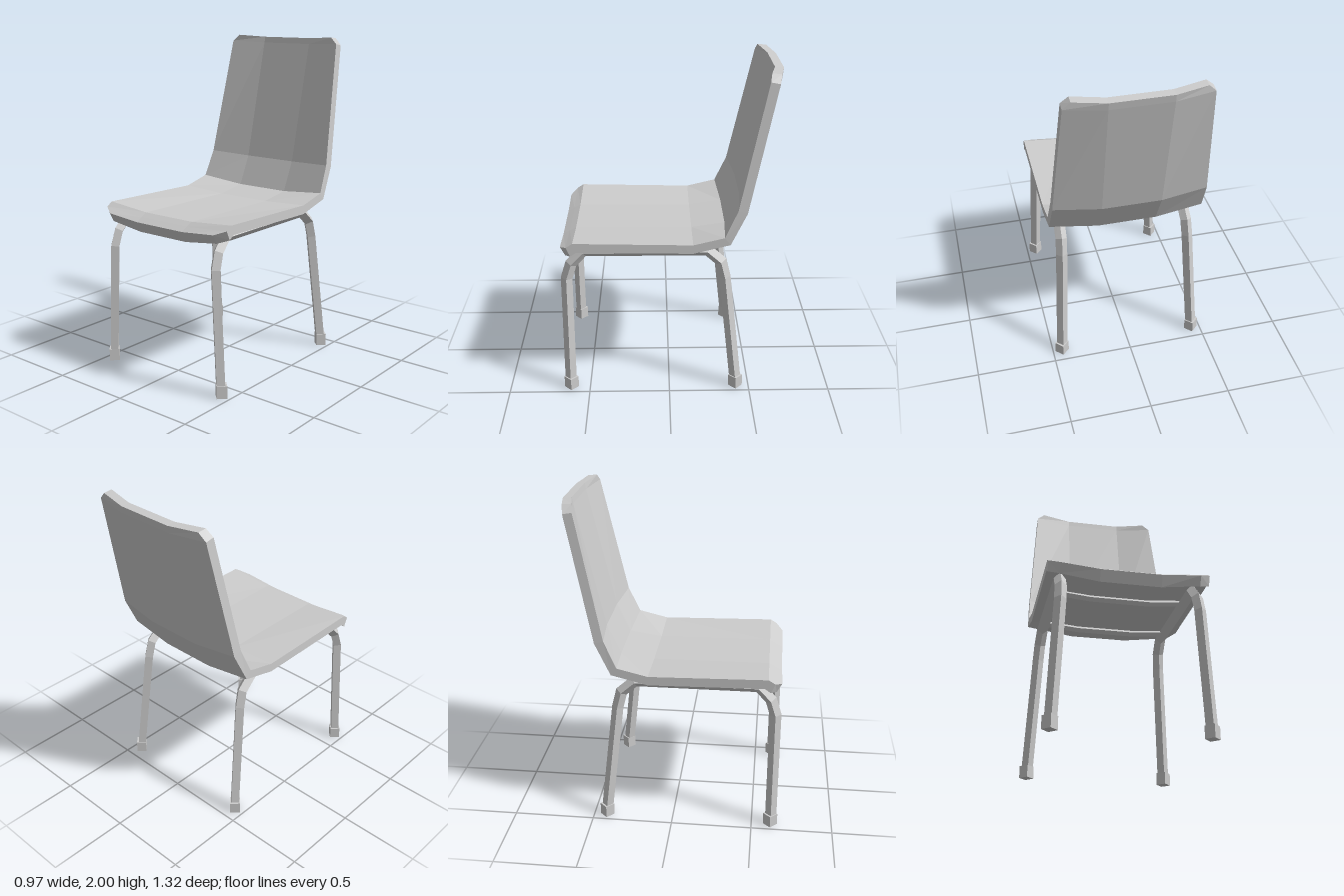
import * as THREE from 'three';

const grey = new THREE.MeshStandardMaterial({ color: 0xcccccc, flatShading: true });
grey.name = 'light grey';

// Skin a list of equal-sized rings (counterclockwise about the travel direction) and cap both ends.
function loft(name, rings) {
  const n = rings[0].length, pos = [];
  const quad = (a, b, c, d) => [a, b, c, a, c, d].forEach((p) => pos.push(p.x, p.y, p.z));
  for (let i = 0; i < rings.length - 1; i++) {
    for (let j = 0; j < n; j++) {
      const k = (j + 1) % n;
      quad(rings[i][j], rings[i][k], rings[i + 1][k], rings[i + 1][j]);
    }
  }
  const s = rings[0], e = rings[rings.length - 1];
  for (let j = 0; j < n / 2 - 1; j++) {
    quad(e[j], e[j + 1], e[n - 2 - j], e[n - 1 - j]);
    quad(s[n - 1 - j], s[n - 2 - j], s[j + 1], s[j]);
  }
  const geo = new THREE.BufferGeometry();
  geo.setAttribute('position', new THREE.Float32BufferAttribute(pos, 3));
  geo.computeVertexNormals();
  const mesh = new THREE.Mesh(geo, grey);
  mesh.name = name;
  return mesh;
}

// Diamond-section bar along a bent path, mitred at each bend; axis is normal to the bending plane.
function bar(name, points, radius, axis) {
  const last = points.length - 1;
  return loft(name, points.map((p, i) => {
    const before = p.clone().sub(points[Math.max(i - 1, 0)]).normalize();
    const after = points[Math.min(i + 1, last)].clone().sub(p).normalize();
    const t = before.clone().add(after).normalize();
    const miter = i === 0 || i === last ? 1 : 1 / t.dot(after);
    const b = t.clone().cross(axis).normalize();
    const n = b.clone().cross(t).normalize().multiplyScalar(radius);
    b.multiplyScalar(radius * miter);
    return [p.clone().add(n), p.clone().add(b), p.clone().sub(n), p.clone().sub(b)];
  }));
}

// Shell stations from front lip to top of back:
// half width, then z, y of: upper edge, upper centre, lower edge, lower centre
const STATIONS = [
  [0.41, 0.65, 0.965, 0.65, 0.945, 0.62, 0.91, 0.62, 0.88],
  [0.475, 0.61, 0.99, 0.61, 0.968, 0.585, 0.933, 0.585, 0.908],
  [0.475, 0.57, 1.015, 0.57, 0.99, 0.55, 0.957, 0.55, 0.936],
  [0.475, -0.14, 1.0, -0.14, 0.985, -0.14, 0.945, -0.14, 0.935],
  [0.475, -0.325, 1.045, -0.345, 1.015, -0.36, 1.0, -0.375, 0.965],
  [0.465, -0.4, 1.21, -0.43, 1.2, -0.455, 1.195, -0.487, 1.175],
  [0.415, -0.56, 1.96, -0.603, 1.952, -0.615, 1.95, -0.655, 1.94],
  [0.37, -0.57, 2.0, -0.61, 1.99, -0.625, 1.995, -0.663, 1.985],
];

// Side frame centreline as z, y: front foot, over the bends, to rear foot
const FRAME = [[0.62, 0.01], [0.62, 0.755], [0.59, 0.85], [0.515, 0.93],
  [-0.23, 0.93], [-0.312, 0.857], [-0.337, 0.755], [-0.42, 0.01]];

export function createModel() {
  const chair = new THREE.Group();
  chair.name = 'chair';
  const v = (x, y, z) => new THREE.Vector3(x, y, z);

  // One-piece seat and back, dished across its width
  const c = 0.18;
  chair.add(loft('seatShell', STATIONS.map(([w, ez, ey, cz, cy, fz, fy, dz, dy]) => [
    v(-w, ey, ez), v(-c, cy, cz), v(c, cy, cz), v(w, ey, ez),
    v(w, fy, fz), v(c, dy, dz), v(-c, dy, dz), v(-w, fy, fz),
  ])));

  // Bent side frames that splay outwards, with a cap on each foot
  for (const [side, sx] of [['left', 1], ['right', -1]]) {
    const path = FRAME.map(([z, y]) => v(sx * (0.44 - 0.05 * y), y, z));
    chair.add(bar(side + 'LegFrame', path, 0.035, v(1, 0, 0)));
    for (const [end, z] of [['Front', 0.617], ['Rear', -0.417]]) {
      const foot = new THREE.Mesh(new THREE.CylinderGeometry(0.044, 0.044, 0.075, 4), grey);
      foot.name = side + end + 'FootCap';
      foot.position.set(sx * 0.44, 0.0375, z);
      chair.add(foot);
    }
  }

  // Cross bars following the underside of the seat
  for (const [name, z, y] of [['frontCrossBar', 0.33, 0.912], ['rearCrossBar', -0.12, 0.906]]) {
    const path = [v(-0.39, y + 0.02, z), v(-c, y, z), v(c, y, z), v(0.39, y + 0.02, z)];
    chair.add(bar(name, path, 0.02, v(0, 0, 1)));
  }
  return chair;
}
